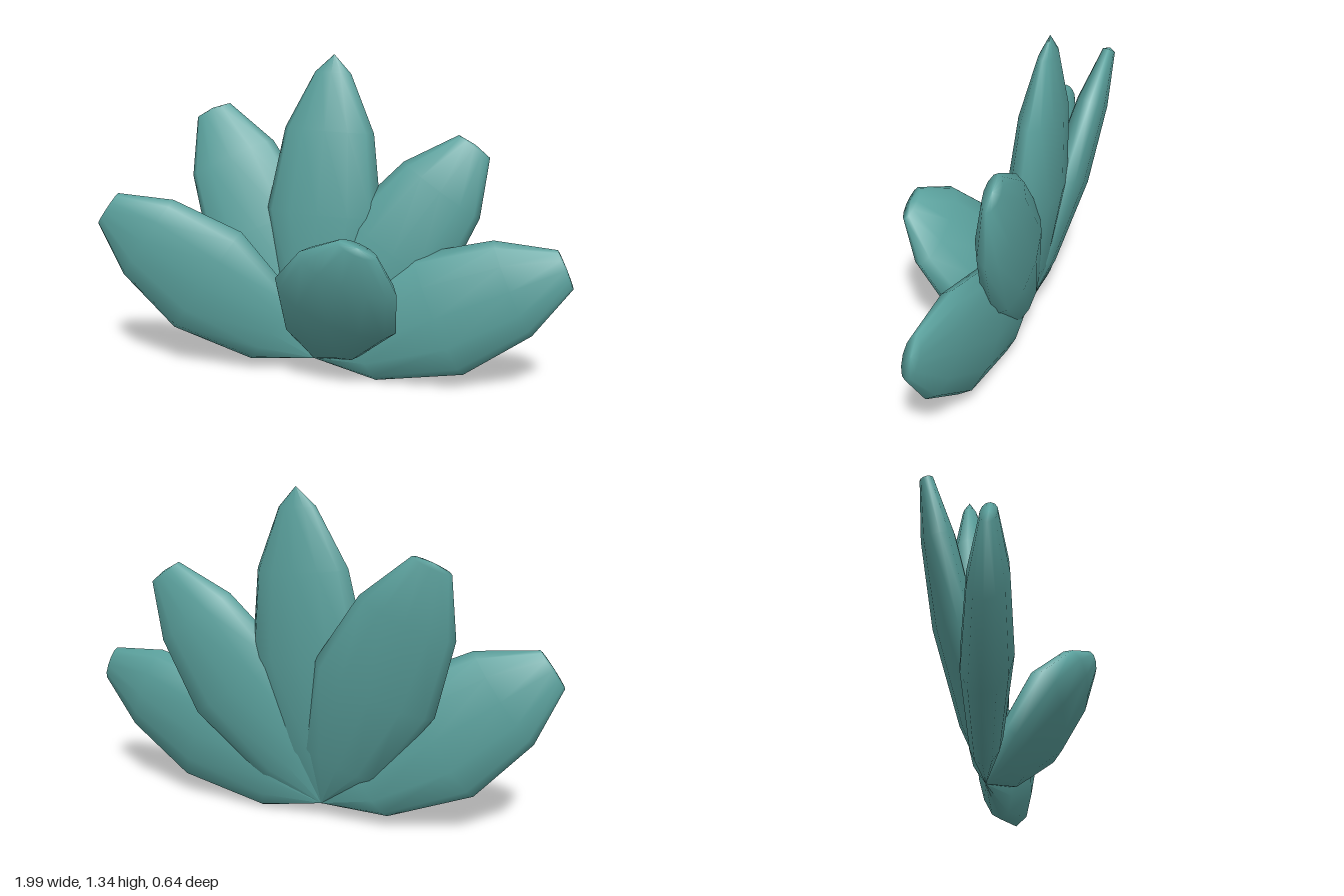
import * as THREE from 'three';

// Petal outline: [share of half width, share of length]
const OUTLINE = [[0, 0], [0.65, 0.2], [1, 0.52], [0.77, 0.805], [0.31, 1]];
const BASE = new THREE.Vector3(-0.07, 0.05, -0.1);

// Flattened spindle from the shared base to the tip, broad side along `facing`
function makePetal({ name, tip, width, thickness, facing, point }, material) {
  const axis = new THREE.Vector3(...tip).sub(BASE);
  const length = axis.length();
  axis.normalize();
  const profile = [...OUTLINE, [0, 1 + point / length]].map(([r, t]) => new THREE.Vector2(r, t));
  const geometry = new THREE.LatheGeometry(profile, 12);

  const normal = new THREE.Vector3(...facing);
  normal.addScaledVector(axis, -normal.dot(axis)).normalize();
  const side = new THREE.Vector3().crossVectors(axis, normal);
  geometry.scale(width, length, thickness);
  geometry.applyMatrix4(new THREE.Matrix4().makeBasis(side, axis, normal).setPosition(BASE));

  const mesh = new THREE.Mesh(geometry, material);
  mesh.name = name;
  return mesh;
}

export function createModel() {
  const teal = new THREE.MeshStandardMaterial({ color: 0x5ba29e });
  teal.name = 'teal';

  // Tip is the centre of the blunt end; point is how far the end rises beyond it
  const petals = [
    { name: 'centerPetal', tip: [-0.01, 1.255, -0.188], width: 0.245, thickness: 0.105, facing: [0, 0, 1], point: 0.075 },
    { name: 'backRightPetal', tip: [-0.565, 1.08, -0.28], width: 0.25, thickness: 0.085, facing: [0.2, 0, 1], point: 0.012 },
    { name: 'backLeftPetal', tip: [0.575, 0.97, -0.185], width: 0.25, thickness: 0.1, facing: [0, 0, 1], point: 0.008 },
    { name: 'sideRightPetal', tip: [-0.95, 0.68, 0], width: 0.27, thickness: 0.095, facing: [0, 0, 1], point: 0.005 },
    { name: 'sideLeftPetal', tip: [0.955, 0.52, -0.04], width: 0.265, thickness: 0.1, facing: [0, 0.12, 1], point: 0.005 },
    { name: 'frontPetal', tip: [0.2, 0.635, 0.3], width: 0.265, thickness: 0.105, facing: [-0.15, -0.49, 0.82], point: 0.008 },
  ];

  const model = new THREE.Group();
  model.name = 'succulent';
  for (const petal of petals) model.add(makePetal(petal, teal));
  return model;
}
